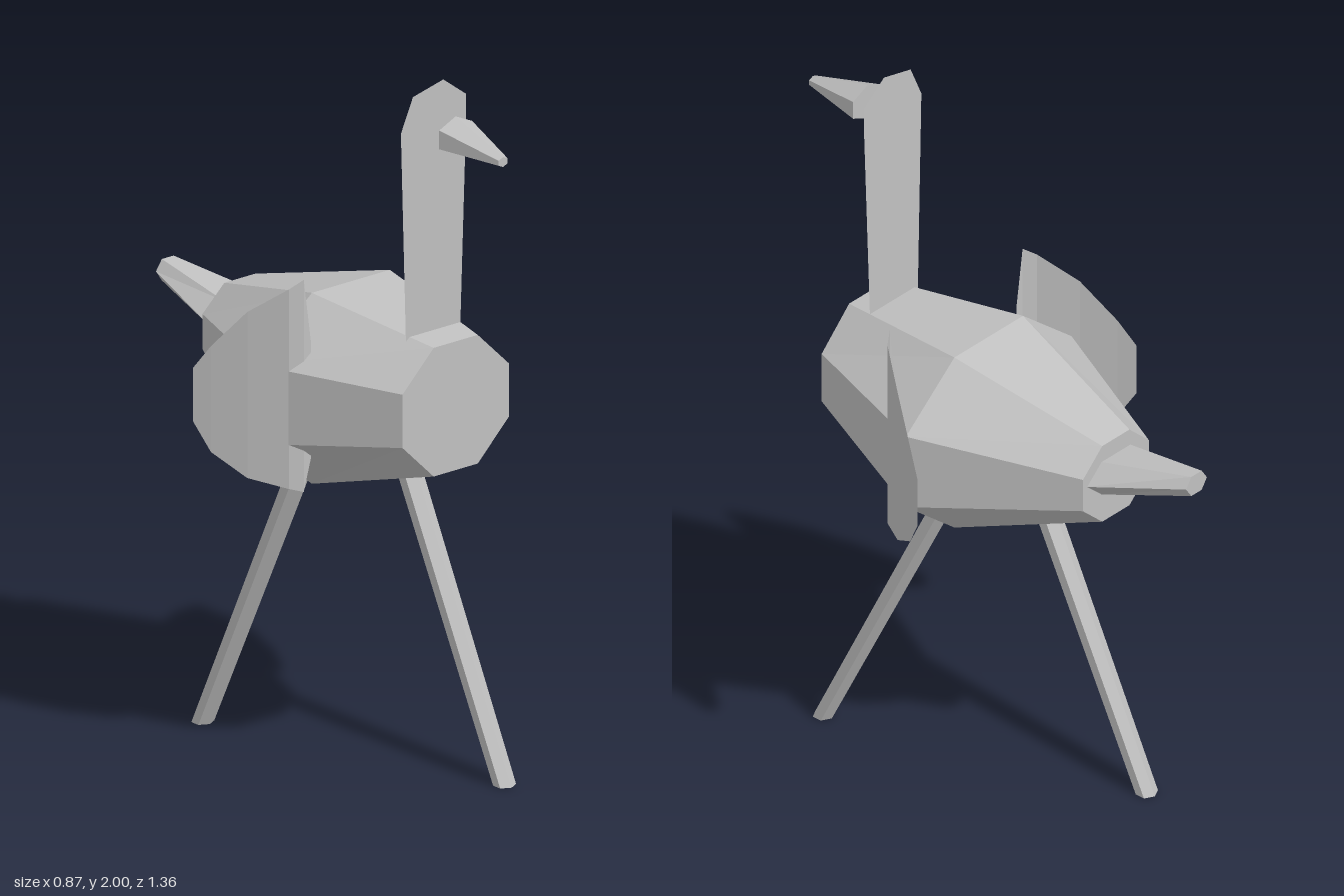
import * as THREE from 'three';

const grey = new THREE.MeshStandardMaterial({ color: 0xc0c0c0, flatShading: true, side: THREE.DoubleSide });
grey.name = 'plain grey';

function meshFrom(points, name) {
  const geo = new THREE.BufferGeometry();
  geo.setAttribute('position', new THREE.Float32BufferAttribute(points.flat(), 3));
  geo.computeVertexNormals();
  const mesh = new THREE.Mesh(geo, grey);
  mesh.name = name;
  return mesh;
}

// Ring of n corners facing along z; rx and ry reach the corners
function ringZ(n, turn, cx, cy, z, rx, ry) {
  return Array.from({ length: n }, (_, i) => {
    const a = turn + (i / n) * Math.PI * 2;
    return [cx + rx * Math.cos(a), cy + ry * Math.sin(a), z];
  });
}

// Level ring of six corners
function ringY(cx, y, cz, r) {
  return ringZ(6, Math.PI / 6, cx, cz, y, r * 1.1, r).map(([x, z, h]) => [x, h, z]);
}

// Closed faceted solid through a row of rings
function loft(rings, name) {
  const pts = [];
  const n = rings[0].length;
  for (let s = 0; s < rings.length - 1; s++) {
    const A = rings[s], B = rings[s + 1];
    for (let i = 0; i < n; i++) {
      const j = (i + 1) % n;
      pts.push(A[i], B[i], B[j], A[i], B[j], A[j]);
    }
  }
  const first = rings[0], last = rings[rings.length - 1];
  for (let i = 1; i < n - 1; i++) {
    pts.push(first[0], first[i], first[i + 1]);
    pts.push(last[0], last[i + 1], last[i]);
  }
  return meshFrom(pts, name);
}

// Thin bent wing from columns [x, z, top, bottom]
function wing(side, name) {
  const columns = [
    [0.238, 0.157, 1.25, 0.92],
    [0.262, 0.156, 1.43, 0.83],
    [0.295, 0.135, 1.405, 0.84],
    [0.36, 0.04, 1.33, 0.86],
    [0.41, -0.05, 1.22, 0.92],
    [0.433, -0.097, 1.15, 1.0],
  ];
  const pts = [];
  for (let i = 0; i < columns.length - 1; i++) {
    const [a, b, c, d] = [[i, 2], [i, 3], [i + 1, 3], [i + 1, 2]].map(([k, h]) => {
      const col = columns[k];
      return [side * col[0], col[h], col[1]];
    });
    if (side > 0) pts.push(a, b, c, a, c, d);
    else pts.push(a, c, b, a, d, c);
  }
  return meshFrom(pts, name);
}

export function createModel() {
  const model = new THREE.Group();
  model.name = 'bird';

  // Eight-sided body, widest in the middle
  const k = 1 / Math.cos(Math.PI / 8);
  const oct = (cy, z, hx, hy) => ringZ(8, Math.PI / 8, 0, cy, z, hx * k, hy * k);
  model.add(loft([
    oct(1.1, 0.47, 0.185, 0.182),
    oct(1.06, 0.04, 0.327, 0.27),
    oct(1.09, -0.415, 0.13, 0.12),
  ], 'body'));

  // Tail, flattened and rising to the back
  model.add(loft([
    ringZ(6, 0, 0, 1.108, -0.41, 0.115, 0.06),
    ringZ(6, 0, -0.026, 1.17, -0.68, 0.041, 0.035),
  ], 'tail'));

  // Flat upright neck and head, leaning slightly forward
  const outline = [
    [-0.097, 1.2], [0.087, 1.2], [0.097, 1.88], [0.095, 1.94],
    [0.015, 2.0], [-0.09, 1.975], [-0.13, 1.88],
  ].map(([x, y]) => new THREE.Vector2(x, y));
  const neckGeo = new THREE.ShapeGeometry(new THREE.Shape(outline));
  const p = neckGeo.attributes.position;
  for (let i = 0; i < p.count; i++) p.setZ(i, 0.385 + (p.getY(i) - 1.29) * 0.023);
  neckGeo.computeVertexNormals();
  const neck = new THREE.Mesh(neckGeo, grey);
  neck.name = 'neckAndHead';
  model.add(neck);

  // Tapered beak standing clear of the head
  model.add(loft([
    ringZ(6, Math.PI / 6, -0.015, 1.853, 0.682, 0.018, 0.014),
    ringZ(6, Math.PI / 6, -0.013, 1.873, 0.485, 0.066, 0.053),
  ], 'beak'));

  // Wings
  model.add(wing(1, 'leftWing'), wing(-1, 'rightWing'));

  // Legs in mid-stride
  model.add(loft([ringY(0.147, 0, 0.497, 0.029), ringY(0.145, 0.9, 0.05, 0.033)], 'leftLeg'));
  model.add(loft([ringY(-0.15, 0, -0.39, 0.029), ringY(-0.147, 0.9, 0.04, 0.033)], 'rightLeg'));

  return model;
}
